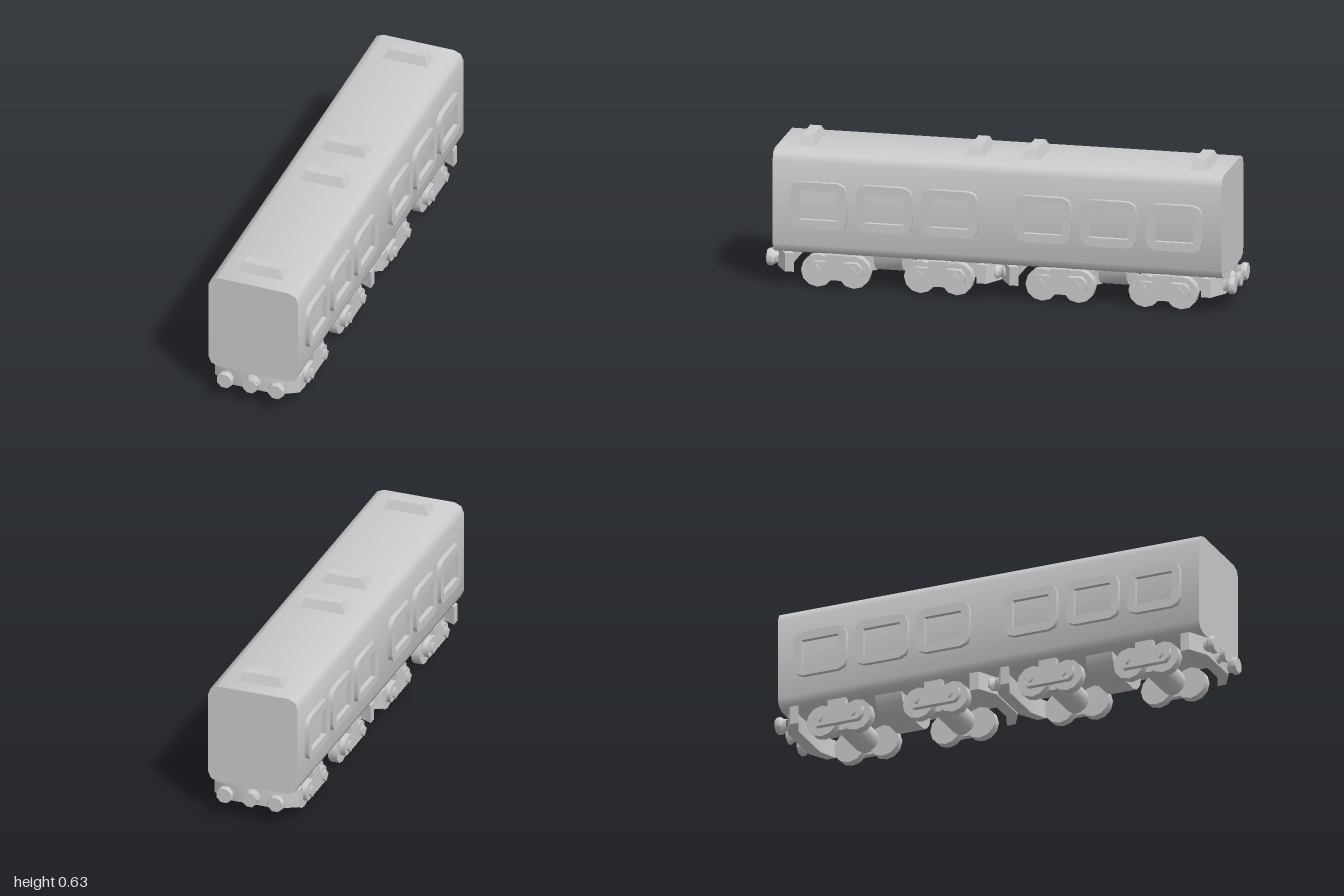
import * as THREE from 'three';
import { toCreasedNormals } from 'three/addons/utils/BufferGeometryUtils.js';

const paint = new THREE.MeshStandardMaterial({ color: 0xcccccc });
paint.name = 'plain grey';

const CAR = 0.48; // distance of each half-carriage centre from the middle

function add(parent, name, geometry, x = 0, y = 0, z = 0) {
  const mesh = new THREE.Mesh(geometry, paint);
  mesh.name = name;
  mesh.position.set(x, y, z);
  parent.add(mesh);
  return mesh;
}

const polygon = (points) => new THREE.Shape(points.map(([x, y]) => new THREE.Vector2(x, y)));

// Rectangle with corners rounded in two facets
function roundedRect(w, h, r) {
  const points = [];
  for (let c = 0; c < 4; c++) {
    const sx = c === 0 || c === 3 ? 1 : -1;
    const sy = c < 2 ? 1 : -1;
    for (let i = 0; i <= 2; i++) {
      const a = (c + i / 2) * Math.PI / 2;
      points.push([sx * (w / 2 - r) + r * Math.cos(a), sy * (h / 2 - r) + r * Math.sin(a)]);
    }
  }
  return polygon(points);
}

function extrude(shape, depth) {
  const geometry = new THREE.ExtrudeGeometry(shape, { depth, bevelEnabled: false });
  return toCreasedNormals(geometry, 0.85);
}

// Extrusion running along x and centred on it
const extrudeX = (shape, depth) => extrude(shape, depth).translate(0, 0, -depth / 2).rotateY(Math.PI / 2);

const cylinderX = (r, length, sides) => new THREE.CylinderGeometry(r, r, length, sides).rotateZ(Math.PI / 2);

// Turned part pointing along +z
function turnedZ(profile) {
  const points = profile.map(([r, z]) => new THREE.Vector2(r, z));
  const geometry = new THREE.LatheGeometry(points, 8).toNonIndexed();
  geometry.deleteAttribute('normal');
  geometry.computeVertexNormals();
  return toCreasedNormals(geometry.rotateX(Math.PI / 2).rotateZ(Math.PI / 8), 0.85);
}

// Roof vent: a box tapered towards its top
function ventGeometry() {
  const geometry = new THREE.BoxGeometry(0.2, 0.04, 0.08).toNonIndexed();
  const p = geometry.attributes.position;
  for (let i = 0; i < p.count; i++) {
    if (p.getY(i) > 0) p.setXYZ(i, p.getX(i) * 0.8, p.getY(i), p.getZ(i) * 0.6);
  }
  geometry.computeVertexNormals();
  return geometry;
}

// Window surround with a rectangular opening
function frameGeometry() {
  const shape = roundedRect(0.24, 0.2, 0.04);
  shape.holes.push(polygon([[-0.083, -0.062], [-0.083, 0.062], [0.083, 0.062], [0.083, -0.062]]));
  return extrudeX(shape, 0.022);
}

// Two-axle bogie
function createBogie() {
  const bogie = new THREE.Group();
  bogie.name = 'bogie';
  const plate = extrudeX(polygon([
    [-0.115, 0.06], [-0.095, 0.038], [0.095, 0.038], [0.115, 0.06], [0.115, 0.095], [0.095, 0.115],
    [0.04, 0.115], [0.04, 0.147], [-0.04, 0.147], [-0.04, 0.115], [-0.095, 0.115], [-0.115, 0.095],
  ]), 0.027);
  const wheel = cylinderX(0.07, 0.04, 12);
  const bolt = cylinderX(0.026, 0.016, 4);
  add(bogie, 'motorDrum', cylinderX(0.056, 0.25, 16), 0, 0.085, 0);
  for (const side of [-1, 1]) {
    add(bogie, 'axleFrame', plate, side * 0.171, 0, 0);
    for (const end of [-1, 1]) {
      add(bogie, 'wheel', wheel, side * 0.14, 0.07, end * 0.078);
      add(bogie, 'axleCap', bolt, side * 0.191, 0.077, end * 0.076);
    }
  }
  return bogie;
}

// Swept-back end beam with two buffers and a coupler, at the +z end of a carriage
function createEndBeam() {
  const end = new THREE.Group();
  end.name = 'endBeam';
  const plan = polygon([
    [-0.19, 0.39], [-0.11, 0.425], [0.11, 0.425], [0.19, 0.39],
    [0.19, 0.43], [0.11, 0.477], [-0.11, 0.477], [-0.19, 0.43],
  ]);
  add(end, 'beam', extrude(plan, 0.08).rotateX(Math.PI / 2), 0, 0.146, 0);
  const buffer = turnedZ([[0.023, 0.47], [0.028, 0.488], [0.037, 0.497], [0.037, 0.515], [0.034, 0.52], [0, 0.52]]);
  for (const side of [-1, 1]) add(end, 'buffer', buffer, side * 0.114, 0.105, 0);
  add(end, 'coupler', turnedZ([[0.04, 0.47], [0.023, 0.49], [0.033, 0.515], [0.033, 0.52], [0, 0.52]]), 0, 0.105, 0);
  return end;
}

export function createModel() {
  const model = new THREE.Group();
  model.name = 'railCarriage';

  // Long body shell
  add(model, 'body', extrude(roundedRect(0.4, 0.445, 0.043), 1.92), 0, 0.3675, -0.96);

  const vent = ventGeometry();
  const frame = frameGeometry();
  const tank = extrude(polygon([
    [-0.15, 0.147], [-0.14, 0.11], [-0.11, 0.08], [-0.07, 0.067],
    [0.07, 0.067], [0.11, 0.08], [0.14, 0.11], [0.15, 0.147],
  ]), 0.12);

  for (const half of [-1, 1]) {
    const car = new THREE.Group();
    car.name = half > 0 ? 'frontHalf' : 'rearHalf';
    car.position.z = half * CAR;
    model.add(car);

    add(car, 'underfloorTank', tank, 0, 0, -0.06);
    for (const end of [-1, 1]) {
      add(car, 'roofVent', vent, 0, 0.61, end * 0.36);
      const bogie = createBogie();
      bogie.position.z = end * 0.22;
      car.add(bogie);
      const beam = createEndBeam();
      if (end < 0) beam.rotation.y = Math.PI;
      car.add(beam);
    }

    // Three windows on each side
    for (const side of [-1, 1]) {
      for (const z of [-0.28, 0, 0.28]) {
        add(car, 'windowFrame', frame, side * 0.209, 0.365, z);
      }
    }
  }
  return model;
}
